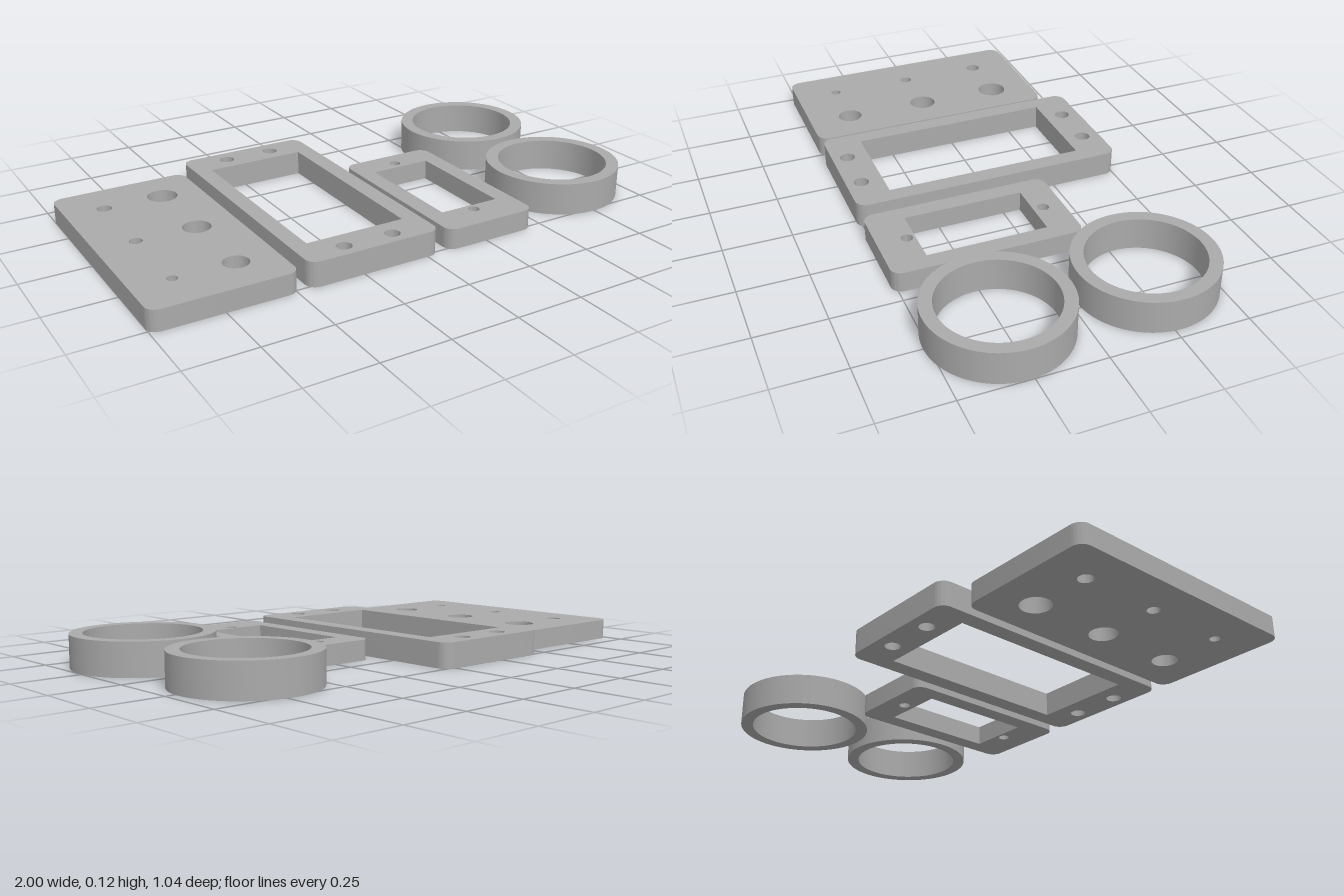
import * as THREE from 'three';
import { toCreasedNormals } from 'three/addons/utils/BufferGeometryUtils.js';

const grey = new THREE.MeshStandardMaterial({ color: 0xaaaaaa });
grey.name = 'plain grey';

// Circular hole at plan position (x, z)
function circle(x, z, r) {
  return new THREE.Path().absarc(x, -z, r, 0, Math.PI * 2, true);
}

// Rectangular window between plan limits
function rectangle(x0, x1, z0, z1) {
  return new THREE.Path([[x0, z0], [x0, z1], [x1, z1], [x1, z0]]
    .map(([x, z]) => new THREE.Vector2(x, -z))).closePath();
}

// Rounded rectangular outline between plan limits
function roundedOutline(x0, x1, z0, z1, r = 0.04) {
  const shape = new THREE.Shape();
  shape.absarc(x1 - r, -z0 - r, r, 0, Math.PI / 2);
  shape.absarc(x0 + r, -z0 - r, r, Math.PI / 2, Math.PI);
  shape.absarc(x0 + r, -z1 + r, r, Math.PI, Math.PI * 1.5);
  shape.absarc(x1 - r, -z1 + r, r, Math.PI * 1.5, Math.PI * 2);
  shape.closePath();
  return shape;
}

// Extrude a plan outline upwards from the ground
function slab(name, shape, holes, height, curveSegments = 16) {
  shape.holes.push(...holes);
  const geometry = new THREE.ExtrudeGeometry(shape, { depth: height, bevelEnabled: false, curveSegments });
  geometry.rotateX(-Math.PI / 2);
  const mesh = new THREE.Mesh(toCreasedNormals(geometry, 0.6), grey);
  mesh.name = name;
  return mesh;
}

export function createModel() {
  const group = new THREE.Group();
  group.name = 'plates and rings';

  // Drilled plate: two columns of holes shrinking towards the front
  const drilled = [-0.27, 0.041, 0.353].flatMap((z, i) => [
    circle(-0.857, z, 0.027 - i * 0.004),
    circle(-0.637, z, 0.055 - i * 0.0045),
  ]);
  group.add(slab('drilledPlate', roundedOutline(-1, -0.49, -0.435, 0.517), drilled, 0.075));

  // Large frame with a screw hole pair at each end
  const largeHoles = [rectangle(-0.393, -0.017, -0.371, 0.379)];
  for (const x of [-0.296, -0.108]) {
    for (const z of [-0.442, 0.459]) largeHoles.push(circle(x, z, 0.028));
  }
  group.add(slab('largeFrame', roundedOutline(-0.455, 0.048, -0.508, 0.517), largeHoles, 0.091));

  // Small frame with one screw hole at each end
  const smallHoles = [rectangle(0.152, 0.39, -0.064, 0.379), circle(0.27, -0.103, 0.021), circle(0.27, 0.409, 0.021)];
  group.add(slab('smallFrame', roundedOutline(0.088, 0.455, -0.178, 0.517), smallHoles, 0.075));

  // Rings
  for (const [name, x, z] of [['backRing', 0.714, -0.272], ['frontRing', 0.748, 0.267]]) {
    const outline = new THREE.Shape().absarc(x, -z, 0.251, 0, Math.PI * 2, false);
    group.add(slab(name, outline, [circle(x, z, 0.205)], 0.12, 48));
  }
  return group;
}
